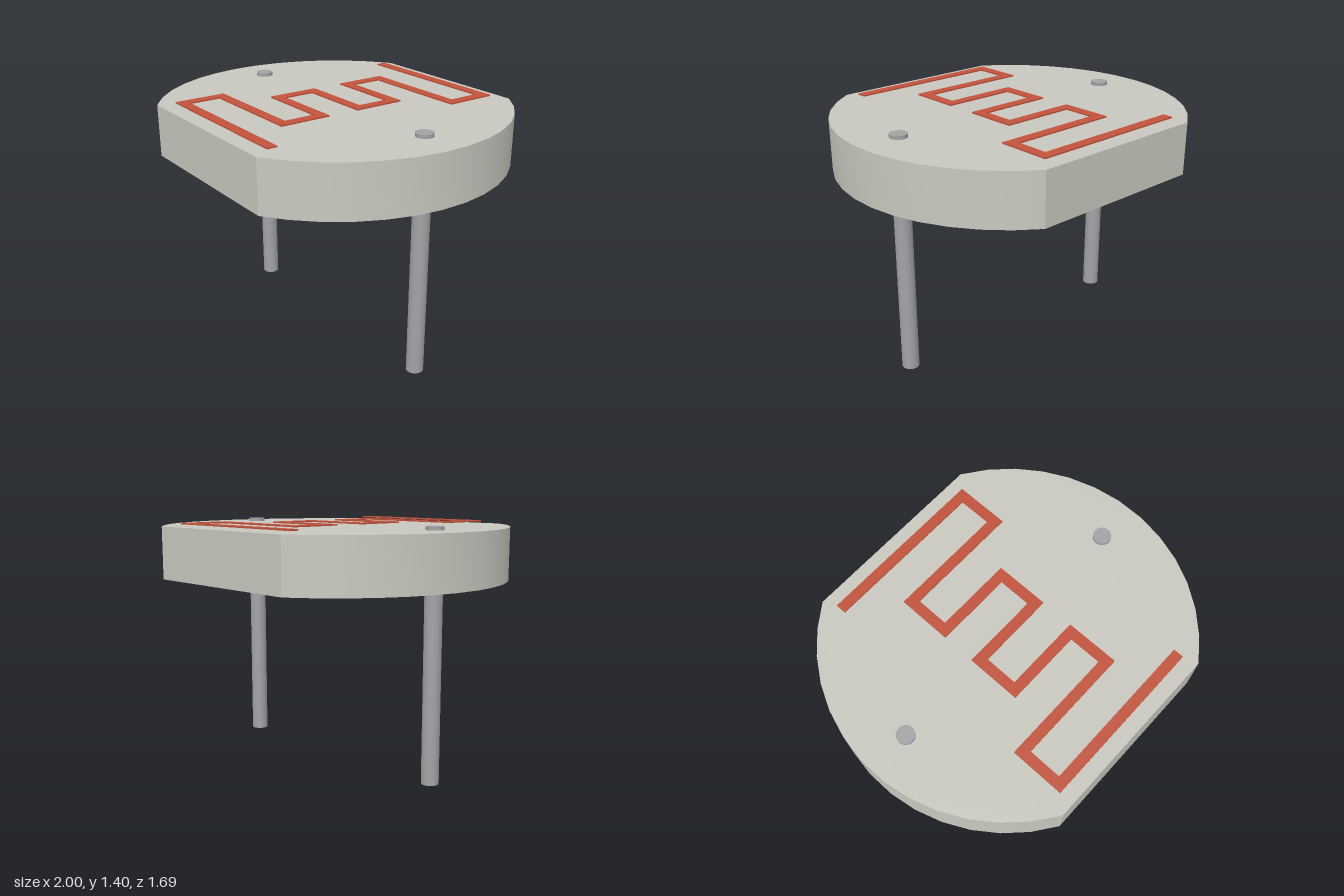
import * as THREE from 'three';
import { toCreasedNormals } from 'three/addons/utils/BufferGeometryUtils.js';

const ceramic = new THREE.MeshStandardMaterial({ name: 'ceramic grey', color: 0xc9c8bf });
const metal = new THREE.MeshStandardMaterial({ name: 'lead grey', color: 0xa3a3a6 });
const red = new THREE.MeshStandardMaterial({ name: 'track red', color: 0xc1533c });

// Lay an extruded plan shape flat, from height y up to y + depth
function slab(shape, y, depth) {
  const geo = new THREE.ExtrudeGeometry(shape, { depth, bevelEnabled: false });
  return geo.rotateX(-Math.PI / 2).translate(0, y, 0);
}

// Disc with straight front and back edges and a red underside
function makeDisc() {
  const radius = 1.003, half = Math.acos(0.53 / 0.998), steps = 13, pts = [];
  for (const start of [0, Math.PI]) {
    for (let i = 0; i <= steps; i++) {
      const a = start - half + (2 * half * i) / steps;
      pts.push(new THREE.Vector2(radius * Math.cos(a), 0.998 * Math.sin(a)));
    }
  }
  const geo = toCreasedNormals(slab(new THREE.Shape(pts), 1.08, 0.3), 0.3);
  const cap = (pts.length - 2) * 3, total = geo.attributes.position.count;
  geo.clearGroups();
  geo.addGroup(0, cap, 1);
  geo.addGroup(cap, total - cap, 0);
  return new THREE.Mesh(geo, [ceramic, red]);
}

// Meandering track: right-angled centre line widened to both sides
function makeTrack() {
  const w = 0.029;
  const turns = [-0.5, 0.432, -0.218, 0.216, -0.218, 0.216, -0.434, 0.5];
  const line = [];
  for (let row = 0; row < 7; row++) {
    const y = 0.736 - row * 0.2453;
    line.push(new THREE.Vector2(turns[row], y), new THREE.Vector2(turns[row + 1], y));
  }
  const side = (s) => line.map((p, i) => {
    const before = line[Math.max(i - 1, 0)], after = line[Math.min(i + 1, line.length - 1)];
    const offset = new THREE.Vector2();
    const a = p.clone().sub(before).normalize(), b = after.clone().sub(p).normalize();
    offset.set(-(a.y + b.y), a.x + b.x).multiplyScalar(s * w);
    return offset.add(p);
  });
  const shape = new THREE.Shape([...side(1), ...side(-1).reverse()]);
  return new THREE.Mesh(slab(shape, 1.392, 0.008), red);
}

export function createModel() {
  const model = new THREE.Group();
  model.name = 'lightSensor';

  const disc = makeDisc();
  disc.name = 'disc';
  const track = makeTrack();
  track.name = 'track';
  model.add(disc, track);

  // Leads run through the disc and end just above it
  for (const [name, x] of [['leftLead', 0.76], ['rightLead', -0.76]]) {
    const lead = new THREE.Mesh(new THREE.CylinderGeometry(0.049, 0.049, 1.4, 32), [metal, metal, red]);
    lead.name = name;
    lead.position.set(x, 0.7, 0);
    model.add(lead);
  }
  return model;
}
